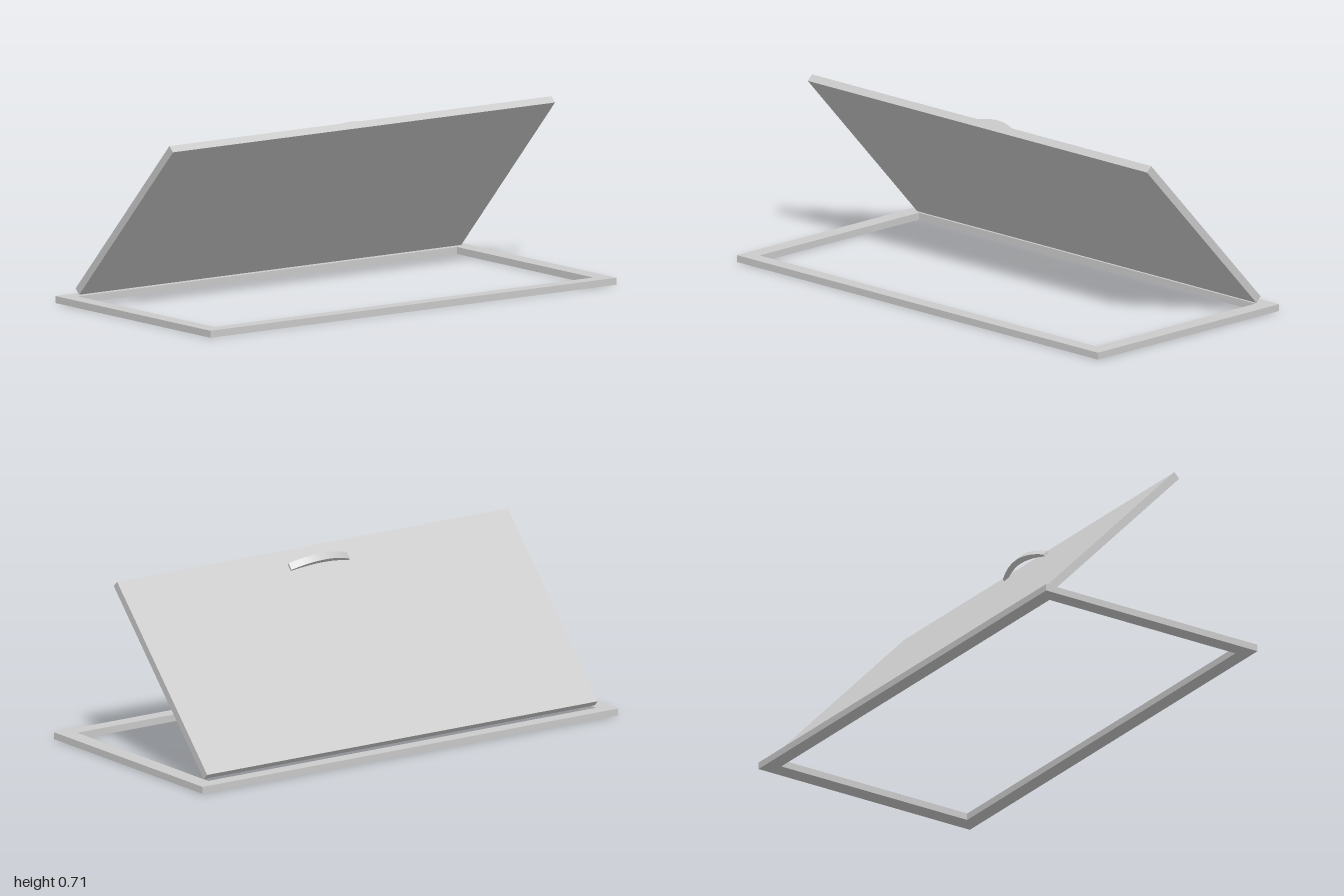
import * as THREE from 'three';

export function createModel() {
  const model = new THREE.Group();
  const material = new THREE.MeshStandardMaterial({ color: 0xcccccc });
  const add = (parent, name, geometry) => {
    const mesh = new THREE.Mesh(geometry, material);
    mesh.name = name;
    parent.add(mesh);
    return mesh;
  };

  // Flat rectangular frame lying on the ground
  const outline = new THREE.Shape([[-1, -0.5], [1, -0.5], [1, 0.5], [-1, 0.5]]
    .map(([x, y]) => new THREE.Vector2(x, y)));
  outline.holes.push(new THREE.Path([[-0.935, -0.44], [-0.935, 0.44], [0.93, 0.44], [0.93, -0.44]]
    .map(([x, y]) => new THREE.Vector2(x, y))));
  const frame = new THREE.ExtrudeGeometry(outline, { depth: 0.028, bevelEnabled: false });
  frame.rotateX(-Math.PI / 2);
  add(model, 'frame', frame);

  // Lid group: local y is the lid's outward normal, local +z runs to the raised edge
  const lid = new THREE.Group();
  lid.name = 'lid';
  lid.position.set(0.005, 0.371, -0.14);
  lid.rotation.x = -Math.atan2(0.649, 0.605);
  model.add(lid);
  const length = 0.887, thickness = 0.032;
  add(lid, 'lidPanel', new THREE.BoxGeometry(1.88, thickness, length));

  // Bowed handle: an arched bar, thinner at its ends
  const half = 0.14, steps = 16;
  const arc = (ends, middle) => Array.from({ length: steps + 1 }, (_, i) => {
    const t = i / steps * 2 - 1;
    return new THREE.Vector2(t * half, ends + (middle - ends) * (1 - t * t));
  });
  const profile = new THREE.Shape([...arc(0, 0.026), ...arc(0.01, 0.048).reverse()]);
  const handle = add(lid, 'handle',
    new THREE.ExtrudeGeometry(profile, { depth: 0.03, bevelEnabled: false }));
  handle.position.set(0.01, thickness / 2 - 0.001, length / 2 - 0.092);

  return model;
}
